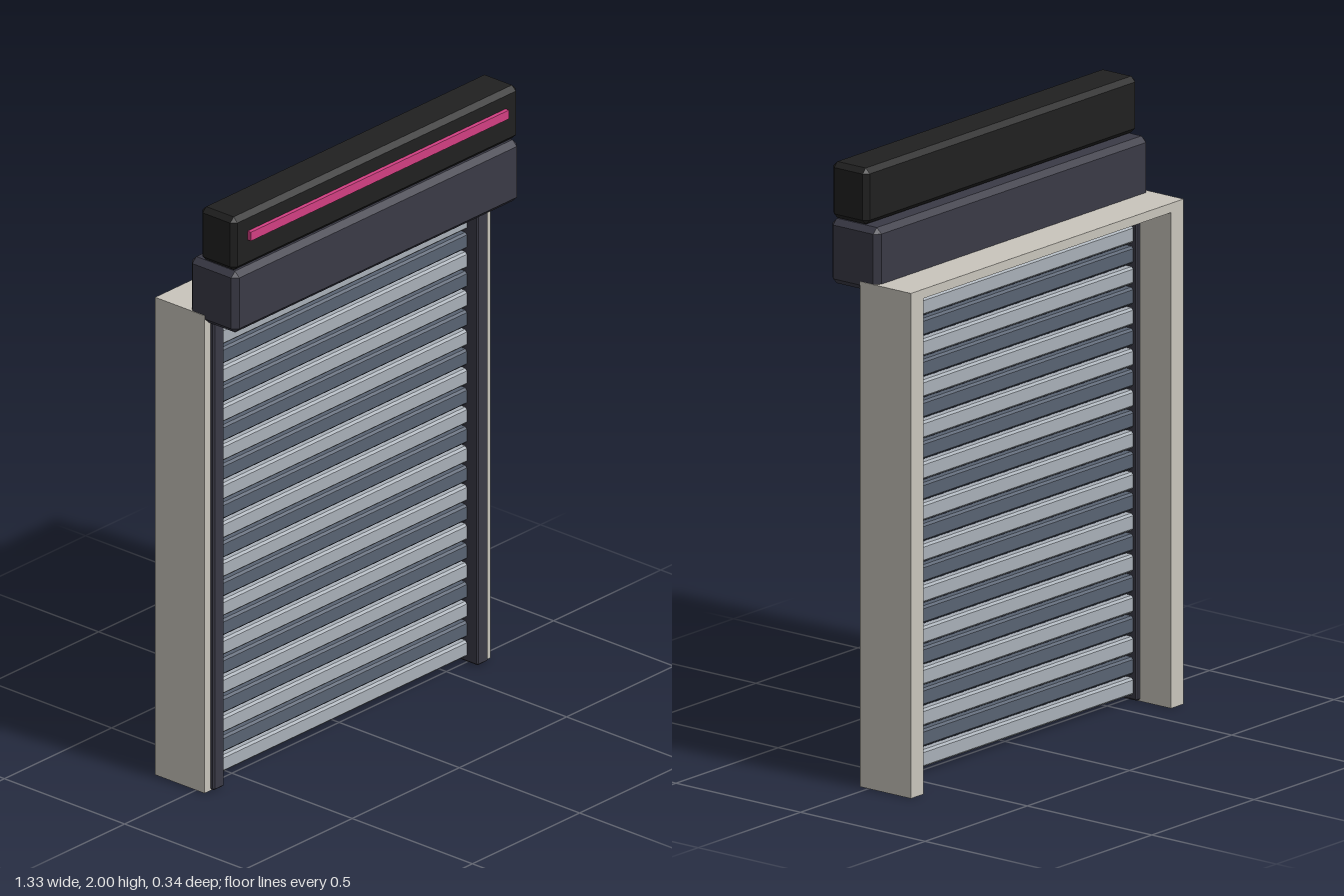
import * as THREE from 'three';
import { ConvexGeometry } from 'three/addons/geometries/ConvexGeometry.js';

const mat = (name, color) => {
  const m = new THREE.MeshStandardMaterial({ color });
  m.name = name;
  return m;
};

// Box with every edge cut by a chamfer of size c
function chamferBox(w, h, d, c) {
  const points = [];
  for (const x of [-1, 1]) for (const y of [-1, 1]) for (const z of [-1, 1]) {
    for (let axis = 0; axis < 3; axis++) {
      const inset = [c, c, c];
      inset[axis] = 0;
      points.push(new THREE.Vector3(
        x * (w / 2 - inset[0]), y * (h / 2 - inset[1]), z * (d / 2 - inset[2])));
    }
  }
  return new ConvexGeometry(points);
}

export function createModel() {
  const model = new THREE.Group();
  model.name = 'rollerShutter';

  const plaster = mat('plaster', 0xc9c5bc);
  const darkMetal = mat('darkMetal', 0x3a3a46);
  const signBlack = mat('signBlack', 0x202020);
  const pink = mat('pinkLight', 0xd23f82);
  const slatDark = mat('slatDark', 0x596372);
  const slatLight = mat('slatLight', 0xa9b0b8);

  // Place a part by its limits; c > 0 chamfers the edges
  function part(name, material, [x0, x1], [y0, y1], [z0, z1], c = 0, parent = model) {
    const size = [x1 - x0, y1 - y0, z1 - z0];
    const geometry = c ? chamferBox(...size, c) : new THREE.BoxGeometry(...size);
    const mesh = new THREE.Mesh(geometry, material);
    mesh.name = name;
    mesh.position.set((x0 + x1) / 2, (y0 + y1) / 2, (z0 + z1) / 2);
    parent.add(mesh);
    return mesh;
  }

  // Wall opening: one continuous upside-down U
  const u = new THREE.Shape();
  [[-0.667, 0], [-0.605, 0], [-0.605, 1.605], [0.605, 1.605], [0.605, 0],
    [0.667, 0], [0.667, 1.635], [-0.667, 1.635]]
    .forEach(([x, y], i) => (i ? u.lineTo(x, y) : u.moveTo(x, y)));
  const frame = new THREE.Mesh(
    new THREE.ExtrudeGeometry(u, { depth: 0.205, bevelEnabled: false }), plaster);
  frame.name = 'wallFrame';
  frame.position.z = -0.17;
  model.add(frame);

  // Guide rails
  for (const s of [-1, 1]) {
    const rail = part(s > 0 ? 'leftGuideRail' : 'rightGuideRail', darkMetal,
      [-0.025, 0.025], [0.003, 1.61], [-0.045, 0.05], 0.005);
    rail.position.x = s * 0.615;
  }

  // Shutter curtain of alternating slats
  const curtain = new THREE.Group();
  curtain.name = 'shutterCurtain';
  model.add(curtain);
  const pitch = 0.0665, half = 0.028;
  for (let i = 0; i < 24; i++) {
    const y = 0.048 + i * pitch;
    part('slat', i % 2 ? slatDark : slatLight,
      [-0.6, 0.6], [y - half, y + half], [-0.03, 0.005], 0.007, curtain);
  }

  // Roller housing, sign box and light strip
  part('rollerHousing', darkMetal, [-0.665, 0.665], [1.605, 1.815], [-0.035, 0.162], 0.018);
  part('signBox', signBlack, [-0.665, 0.665], [1.818, 2], [0.01, 0.156], 0.016);
  part('lightStrip', pink, [-0.602, 0.602], [1.91, 1.94], [0.15, 0.17]);

  return model;
}
